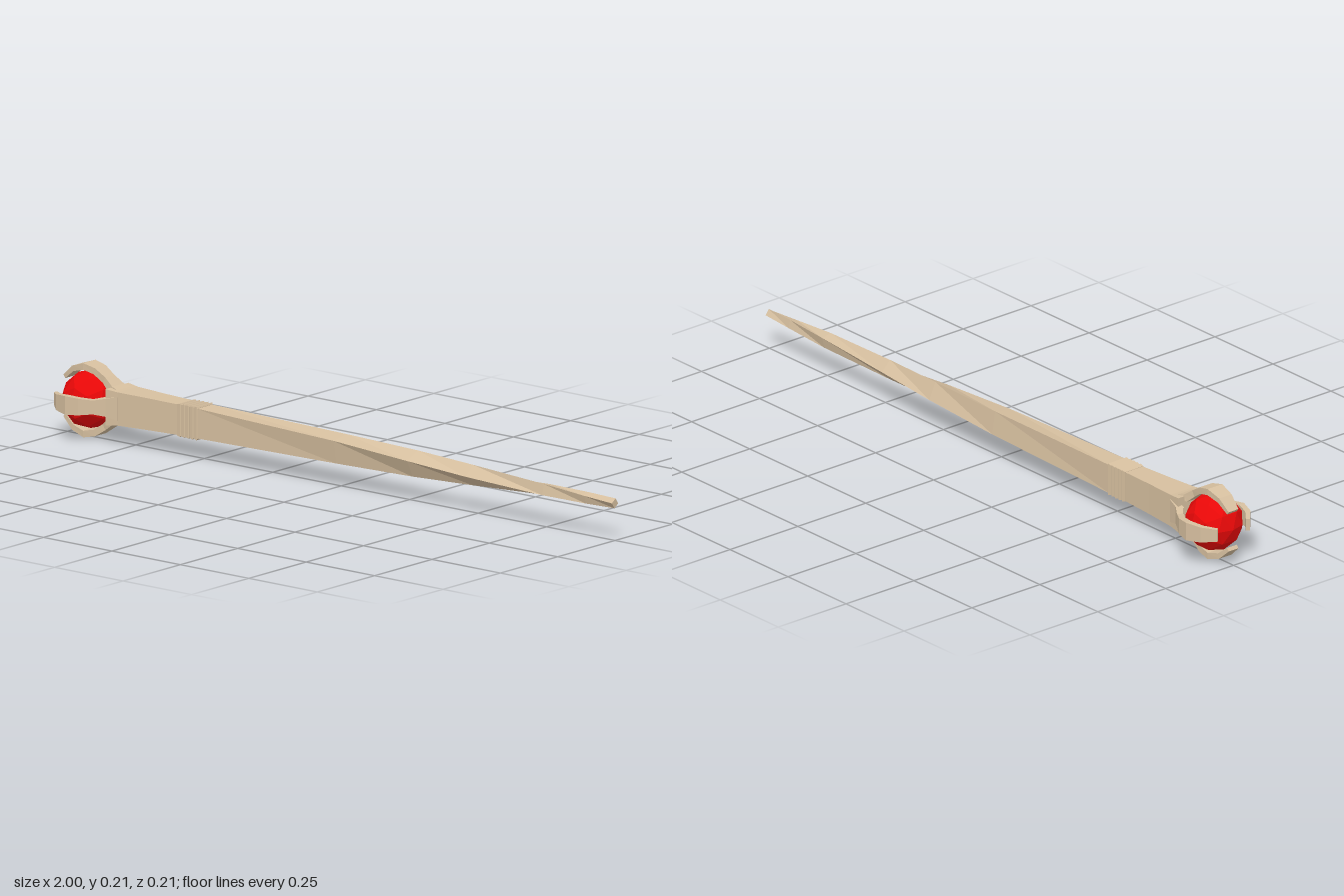
import * as THREE from 'three';

const AXIS_Y = 0.11;

// Skin a list of four-cornered sections, ordered along +x, with end caps
function loft(sections) {
  const pos = sections.flat(2);
  const idx = [];
  const n = sections.length;
  for (let i = 0; i < n - 1; i++) {
    for (let k = 0; k < 4; k++) {
      const a = i * 4 + k, b = i * 4 + (k + 1) % 4;
      idx.push(a, a + 4, b, b, a + 4, b + 4);
    }
  }
  const e = (n - 1) * 4;
  idx.push(0, 1, 2, 0, 2, 3, e, e + 2, e + 1, e, e + 3, e + 2);
  const g = new THREE.BufferGeometry();
  g.setAttribute('position', new THREE.Float32BufferAttribute(pos, 3));
  g.setIndex(idx);
  g.computeVertexNormals();
  return g;
}

// Rectangular section across the shaft, turned about its axis
function section(x, hy, hz, degrees) {
  const t = THREE.MathUtils.degToRad(degrees), c = Math.cos(t), s = Math.sin(t);
  return [[1, 1], [1, -1], [-1, -1], [-1, 1]].map(([sy, sz]) =>
    [x, sy * hy * c - sz * hz * s, sy * hy * s + sz * hz * c]);
}

export function createModel() {
  const wand = new THREE.Group();
  wand.name = 'wand';
  const wood = new THREE.MeshStandardMaterial({ color: 0xd6bf9f, flatShading: true, side: THREE.DoubleSide });
  const red = new THREE.MeshStandardMaterial({ color: 0xe80808, flatShading: true });
  const add = (name, geometry, material) => {
    const mesh = new THREE.Mesh(geometry, material);
    mesh.name = name;
    mesh.position.y = AXIS_Y;
    wand.add(mesh);
    return mesh;
  };

  // Tapered shaft, twisting towards the tip: x, half height, half depth, turn
  const stations = [
    [-0.82, 0.052, 0.050, 0], [-0.78, 0.048, 0.044, 0], [-0.68, 0.046, 0.037, 0],
    [-0.57, 0.044, 0.032, 0], [-0.5, 0.043, 0.032, 0], [0, 0.034, 0.029, 9],
    [0.27, 0.027, 0.026, 25], [0.48, 0.021, 0.021, 45], [0.75, 0.016, 0.016, 78],
    [0.9, 0.012, 0.012, 105], [1, 0.010, 0.010, 125],
  ];
  add('shaft', loft(stations.map(s => section(...s))), wood);

  // Narrow raised bands of the grip
  for (let i = 0; i < 5; i++) {
    const x = -0.565 + i * 0.015;
    add('gripBand', loft([
      section(x - 0.007, 0.045, 0.0335, 0),
      section(x + 0.005, 0.048, 0.035, 0),
      section(x + 0.007, 0.044, 0.033, 0),
    ]), wood);
  }

  // Faceted orb
  const orb = add('orb', new THREE.IcosahedronGeometry(0.084, 1), red);
  orb.position.x = -0.915;

  // Four claws: outer x, outer radius, inner x, inner radius, half width
  const slices = [
    [-1.0, 0.060, -0.993, 0.051, 0.018],
    [-0.965, 0.092, -0.96, 0.077, 0.023],
    [-0.92, 0.107, -0.92, 0.088, 0.027],
    [-0.88, 0.098, -0.885, 0.080, 0.024],
    [-0.845, 0.076, -0.855, 0.060, 0.020],
    [-0.815, 0.055, -0.83, 0.038, 0.026],
    [-0.78, 0.046, -0.78, 0.030, 0.034],
  ];
  const claw = loft(slices.map(([xo, ro, xi, ri, w]) =>
    [[xo, ro, w], [xo, ro, -w], [xi, ri, -w], [xi, ri, w]]));
  for (let i = 0; i < 4; i++) {
    add('claw', claw, wood).rotation.x = i * Math.PI / 2;
  }

  return wand;
}
